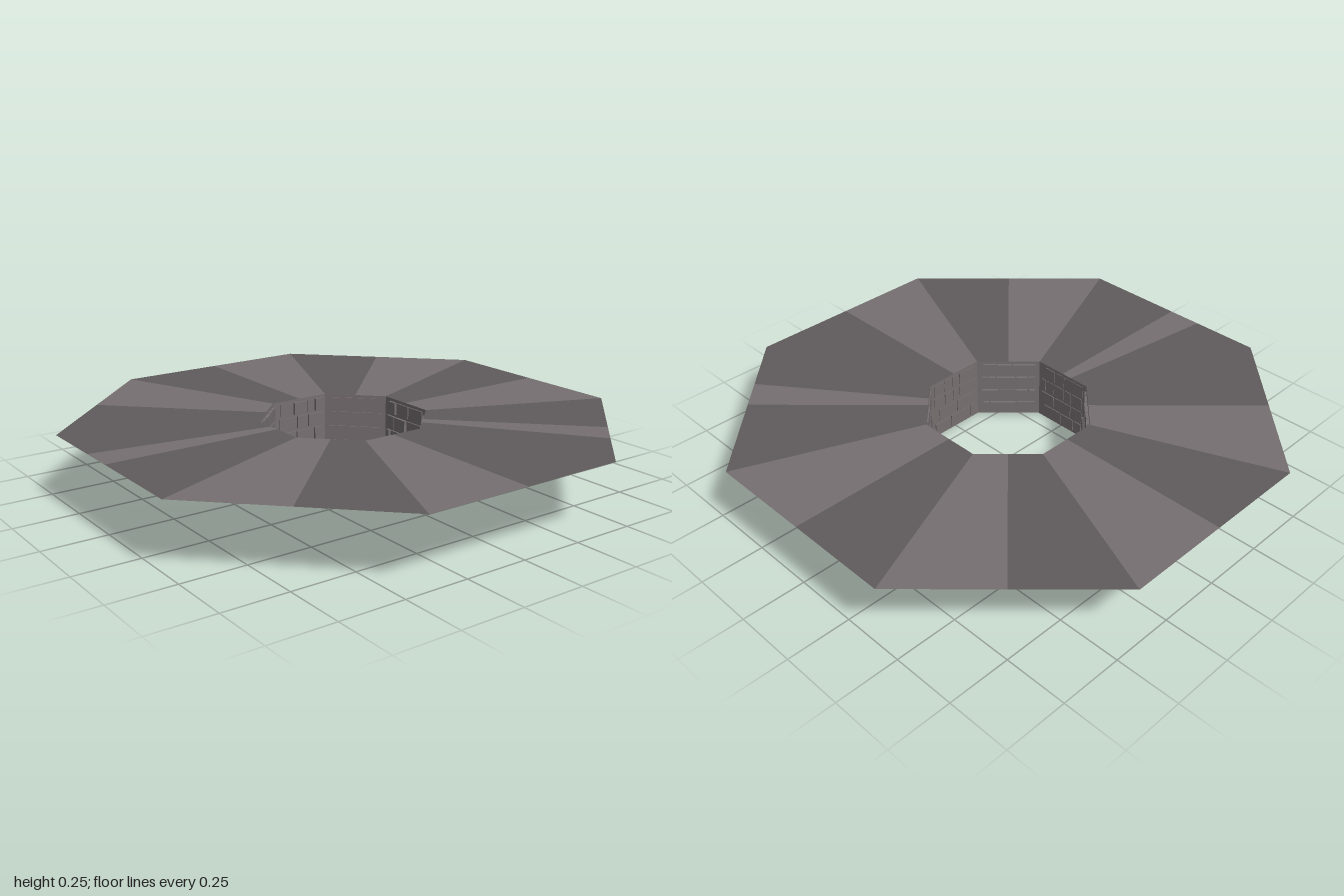
import * as THREE from 'three';

const H = 0.255;          // height of the collar, level of the flat ring
const A = 0.307;          // distance from centre to each collar wall
const C = Math.SQRT2 - 1; // half side of an octagon of apothem 1

const material = (color) =>
  new THREE.MeshStandardMaterial({ color, flatShading: true, side: THREE.DoubleSide });

// seeded number generator for the panel layout
function seeded(seed) {
  let s = seed;
  return () => (s = (s * 16807) % 2147483647) / 2147483647;
}

export function createModel() {
  const model = new THREE.Group();
  const light = material(0x766f71);
  const dark = material(0x605b5c);

  // flat octagonal ring of alternating wedges: outer x, outer z, is light
  const D = Math.SQRT1_2;
  const wedges = [
    [1, 0, 1], [1, C, 0], [D, D, 1], [0.607, 0.807, 0], [C, 1, 0], [0, 1, 1],
    [-C, 1, 0], [-D, D, 1], [-1, C, 0], [-1, 0, 1], [-1, -0.14, 0], [-1, -C, 0],
    [-D, -D, 1], [-C, -1, 0], [0, -1, 1], [C, -1, 0], [D, -D, 1], [1, -C, 0],
  ];
  const ring = new THREE.Group();
  ring.name = 'ring';
  wedges.forEach(([x0, z0, isLight], i) => {
    const [x1, z1] = wedges[(i + 1) % wedges.length];
    const shape = new THREE.Shape([
      new THREE.Vector2(x0, -z0), new THREE.Vector2(x1, -z1),
      new THREE.Vector2(x1 * A, -z1 * A), new THREE.Vector2(x0 * A, -z0 * A),
    ]);
    const wedge = new THREE.Mesh(new THREE.ShapeGeometry(shape), isLight ? light : dark);
    wedge.name = 'ringWedge';
    wedge.rotation.x = -Math.PI / 2;
    wedge.position.y = H;
    ring.add(wedge);
  });
  model.add(ring);

  // open octagonal collar under the hole
  const radius = A / Math.cos(Math.PI / 8);
  const collarGeometry = new THREE.CylinderGeometry(radius, radius, H, 8, 1, true);
  collarGeometry.rotateY(Math.PI / 8);
  const collar = new THREE.Mesh(collarGeometry, light);
  collar.name = 'collar';
  collar.position.y = H / 2;
  model.add(collar);

  // shallow relief panels on the inner walls
  const random = seeded(41);
  const depths = [0.004, 0.007, 0.014, 0.007, 0.01, 0.014, 0.004, 0.012];
  depths.forEach((depth, side) => {
    const wall = new THREE.Group();
    wall.name = 'innerWallPanels';
    wall.rotation.y = side * Math.PI / 4;
    for (let row = 0; row < 4; row++) {
      let x = -0.112;
      while (x < 0.09) {
        const w = Math.min(0.03 + random() * 0.08, 0.112 - x);
        const d = depth * (0.4 + 0.6 * random());
        const panel = new THREE.Mesh(new THREE.BoxGeometry(w - 0.006, 0.05, d), light);
        panel.name = 'reliefPanel';
        panel.position.set(x + w / 2, 0.035 + row * 0.061, A - d / 2 - 0.0005);
        wall.add(panel);
        x += w;
      }
    }
    model.add(wall);
  });

  return model;
}
